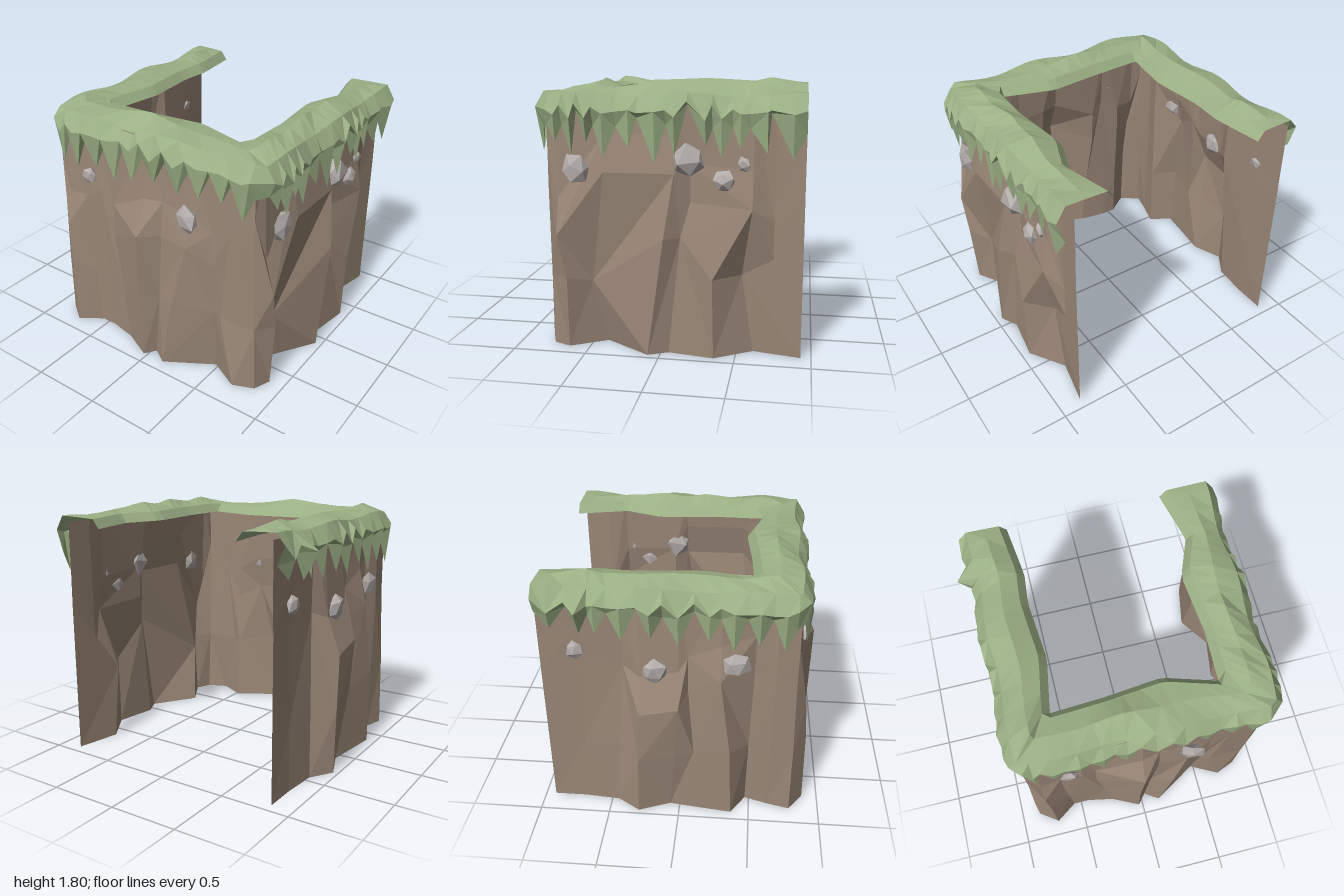
import * as THREE from 'three';

const lerp = THREE.MathUtils.lerp;

// Three walls share one coordinate system: u along the wall, d outward, y up
const place = {
  front: (u, d, y) => [u, y, d],
  left: (u, d, y) => [-d, y, u],
  back: (u, d, y) => [u, y, -d],
};

// Piecewise linear lookup in ascending [u, value] pairs
function lookup(list, u) {
  if (u <= list[0][0]) return list[0][1];
  for (let i = 1; i < list.length; i++) {
    const [a, va] = list[i - 1], [b, vb] = list[i];
    if (u <= b) return lerp(va, vb, (u - a) / (b - a));
  }
  return list[list.length - 1][1];
}

// Faceted open sheet through a series of equally long cross-sections
function sheet(name, sections, color) {
  const n = sections[0].length, index = [];
  for (let i = 0; i < sections.length - 1; i++) {
    for (let j = 0; j < n - 1; j++) {
      const a = i * n + j, b = a + n;
      if ((i + j) % 2) index.push(a, a + 1, b, b, a + 1, b + 1);
      else index.push(a, a + 1, b + 1, a, b + 1, b);
    }
  }
  let geo = new THREE.BufferGeometry();
  geo.setAttribute('position', new THREE.Float32BufferAttribute(sections.flat(2), 3));
  geo.setIndex(index);
  geo = geo.toNonIndexed();
  geo.computeVertexNormals();
  const mesh = new THREE.Mesh(geo, new THREE.MeshStandardMaterial({ color, flatShading: true, side: THREE.DoubleSide }));
  mesh.name = name;
  return mesh;
}

// Rock columns: foot [u, d], middle [u, d, y], shoulder [u, d, y]
const rock = {
  front: [
    [0.93, 0.84, 0.93, 0.84, 0.5, 0.93, 0.84, 1.1],
    [0.61, 0.775, 0.53, 0.79, 0.54, 0.74, 0.82, 0.66],
    [0.36, 0.94, 0.35, 0.955, 0.54, 0.6, 0.9, 1.0],
    [0.05, 0.89, 0.13, 0.88, 0.8, 0.19, 0.84, 1.03],
    [-0.08, 0.955, 0.03, 0.965, 0.8, 0.09, 0.9, 1.22],
    [-0.4, 0.745, -0.49, 0.8, 0.45, -0.38, 0.9, 1.22],
    [-0.64, 0.89, -0.64, 0.92, 0.5, -0.7, 0.93, 0.79],
    [-0.76, 0.84, -0.77, 0.83, 0.5, -0.78, 0.82, 1.1],
  ],
  left: [
    [0.69, 0.82, 0.56, 0.78, 0.5, 0.64, 0.78, 1.2],
    [0.48, 0.71, 0.49, 0.75, 0.5, 0.5, 0.78, 0.9],
    [0.14, 0.91, 0.23, 0.89, 0.55, 0.32, 0.84, 1.0],
    [0.03, 0.84, 0.07, 0.83, 0.5, 0.11, 0.83, 1.02],
    [-0.03, 0.92, -0.04, 0.93, 0.55, -0.02, 0.94, 1.02],
    [-0.24, 0.82, -0.29, 0.81, 0.45, -0.35, 0.8, 0.85],
    [-0.44, 0.78, -0.44, 0.8, 0.55, -0.45, 0.81, 1.2],
    [-0.56, 0.78, -0.58, 0.79, 0.45, -0.6, 0.79, 0.85],
    [-0.72, 0.89, -0.73, 0.88, 0.55, -0.75, 0.86, 0.85],
  ],
  back: [
    [-0.79, 0.86, -0.79, 0.85, 0.5, -0.78, 0.83, 1.1],
    [-0.63, 0.82, -0.63, 0.83, 0.5, -0.64, 0.84, 1.05],
    [-0.47, 0.77, -0.48, 0.78, 0.5, -0.5, 0.79, 1.15],
    [-0.37, 0.93, -0.35, 0.94, 0.55, -0.28, 0.91, 1.1],
    [-0.12, 0.9, -0.1, 0.89, 0.5, -0.06, 0.86, 1.0],
    [0.07, 0.875, 0.03, 0.93, 0.5, 0.0, 0.96, 0.9],
    [0.29, 0.965, 0.28, 0.97, 0.45, 0.26, 0.97, 0.85],
    [0.45, 0.86, 0.42, 0.84, 0.55, 0.38, 0.81, 1.15],
    [0.7, 0.84, 0.68, 0.83, 0.5, 0.66, 0.82, 1.2],
    [0.93, 0.84, 0.93, 0.84, 0.5, 0.93, 0.84, 1.1],
  ],
};

function rockSections() {
  const out = [];
  for (const wall of ['front', 'left', 'back']) {
    const at = place[wall], rim = wall === 'left' ? 0.77 : 0.82;
    for (const [u0, d0, u1, d1, y1, u2, d2, y2] of rock[wall]) {
      const top = lerp(rim, Math.min(d2, rim + 0.02), 0.7);
      out.push([
        at(u0, d0, 0), at(u1, d1, y1), at(u2, d2, y2),
        at(u2, lerp(d2, top, 0.7), y2 + 0.25), at(u2, top, 1.7),
      ]);
    }
  }
  return out;
}

// Grass: outer reach, inner lip line, crest heights, and alternating gap / tip heights of the fringe
const grass = {
  front: {
    reach: 0.95, inner: [[-0.48, 0.56], [-0.16, 0.57], [0.27, 0.53], [0.55, 0.64], [0.93, 0.55]],
    crest: [[-0.7, 1.75], [-0.5, 1.79], [-0.36, 1.76], [-0.06, 1.8], [0.08, 1.77], [0.26, 1.8], [0.42, 1.77], [0.93, 1.74]],
    outerEnds: [-0.75, 0.93], innerEnds: [-0.48, 0.93],
    fringe: [[0.93, 1.48], [0.85, 1.34], [0.71, 1.62], [0.69, 1.37], [0.58, 1.52], [0.52, 1.39], [0.47, 1.53],
      [0.4, 1.34], [0.34, 1.52], [0.3, 1.41], [0.18, 1.67], [0.1, 1.34], [0.04, 1.54], [-0.03, 1.29], [-0.15, 1.58],
      [-0.2, 1.39], [-0.29, 1.52], [-0.37, 1.32], [-0.44, 1.53], [-0.48, 1.42], [-0.55, 1.62], [-0.58, 1.34],
      [-0.65, 1.52], [-0.69, 1.42], [-0.75, 1.53]],
  },
  left: {
    reach: 0.85, inner: [[-0.56, 0.47], [-0.2, 0.45], [0.2, 0.41], [0.56, 0.52]],
    crest: [[-0.8, 1.75], [-0.4, 1.76], [-0.12, 1.8], [0.2, 1.75], [0.5, 1.74], [0.8, 1.75]],
    outerEnds: [-0.82, 0.82], innerEnds: [-0.56, 0.56],
    fringe: [[0.82, 1.5], [0.76, 1.34], [0.66, 1.56], [0.6, 1.42], [0.5, 1.58], [0.42, 1.4], [0.33, 1.55], [0.25, 1.38],
      [0.16, 1.6], [0.06, 1.41], [-0.05, 1.55], [-0.13, 1.36], [-0.22, 1.56], [-0.29, 1.33], [-0.38, 1.55],
      [-0.45, 1.38], [-0.55, 1.58], [-0.63, 1.33], [-0.71, 1.54], [-0.76, 1.35], [-0.82, 1.52]],
  },
  back: {
    reach: 0.91, inner: [[-0.46, 0.56], [-0.1, 0.5], [0.33, 0.54], [0.55, 0.52], [0.93, 0.57]],
    crest: [[-0.75, 1.75], [-0.6, 1.8], [-0.4, 1.76], [0.1, 1.78], [0.5, 1.76], [0.63, 1.79], [0.93, 1.74]],
    outerEnds: [-0.75, 0.93], innerEnds: [-0.48, 0.93],
    fringe: [[-0.75, 1.5], [-0.68, 1.35], [-0.6, 1.56], [-0.52, 1.38], [-0.44, 1.56], [-0.36, 1.33], [-0.27, 1.55],
      [-0.2, 1.4], [-0.1, 1.6], [0.0, 1.36], [0.1, 1.55], [0.18, 1.4], [0.27, 1.6], [0.37, 1.38], [0.46, 1.56],
      [0.54, 1.42], [0.58, 1.55], [0.64, 1.42], [0.72, 1.6], [0.83, 1.45], [0.93, 1.55]],
  },
};

function grassSections() {
  const out = [];
  for (const wall of ['front', 'left', 'back']) {
    const { reach, inner, crest, outerEnds: [o0, o1], innerEnds: [i0, i1], fringe } = grass[wall];
    const at = place[wall];
    fringe.forEach(([u, y], i) => {
      const isTip = i % 2 === 1;
      const ui = lerp(i0, i1, (u - o0) / (o1 - o0)); // squeezed toward the inner corner
      const lip = lookup(inner, ui), um = (u + ui) / 2;
      const wave = Math.sin(u * 9), ripple = Math.sin(i * 2.6);
      const spike = wall === 'back' && u === 0.64 ? 0.08 : 0;
      const brow = reach + spike + 0.015 * wave + (isTip ? 0.005 : -0.008);
      const shoulder = reach - 0.07 + 0.012 * wave;
      out.push([
        at(u, reach - (isTip ? 0.025 : 0.05), y),
        at(u, brow, Math.max((isTip ? 1.6 : 1.64) + 0.03 * ripple, y + 0.02)),
        at(u, shoulder, 1.73 + 0.015 * wave),
        at(um, lerp(lip, shoulder, 0.55), lookup(crest, um)),
        at(ui, lip + 0.05, 1.735),
        at(ui, lip, 1.67),
      ]);
    });
  }
  return out;
}

// Small faceted boulder with uneven corners, flattened against its wall
function stone(wall, u, d, y, r, seed) {
  const geo = new THREE.IcosahedronGeometry(r, 0);
  const p = geo.attributes.position, v = new THREE.Vector3();
  for (let i = 0; i < p.count; i++) {
    v.fromBufferAttribute(p, i);
    const k = 1 + 0.16 * Math.sin(Math.round(v.x / r * 10) * 3.1 + Math.round(v.y / r * 10) * 1.7 + Math.round(v.z / r * 10) * 2.3 + seed);
    p.setXYZ(i, v.x * k, v.y * k, v.z * k);
  }
  geo.rotateX(seed).rotateY(seed * 1.7).rotateZ(seed * 0.6);
  if (wall === 'left') geo.scale(0.5, 1, 1);
  else geo.scale(1, 1, 0.5);
  geo.computeVertexNormals();
  const mesh = new THREE.Mesh(geo, new THREE.MeshStandardMaterial({ color: 0xb4aeac, flatShading: true }));
  mesh.position.set(...place[wall](u, d, y));
  mesh.name = 'stone';
  return mesh;
}

export function createModel() {
  const group = new THREE.Group();
  group.name = 'cliffWalls';
  group.add(sheet('rockWall', rockSections(), 0x9a8777));
  group.add(sheet('grassTop', grassSections(), 0x9cb085));

  const stones = new THREE.Group();
  stones.name = 'embeddedStones';
  [
    ['front', -0.56, 0.89, 1.24, 0.1], ['front', 0.18, 0.88, 1.31, 0.12],
    ['front', 0.41, 0.88, 1.18, 0.075], ['front', 0.54, 0.87, 1.29, 0.05],
    ['left', 0.34, 0.84, 1.23, 0.1], ['left', -0.53, 0.82, 1.29, 0.065],
    ['back', -0.38, 0.88, 1.23, 0.09], ['back', 0.16, 0.88, 1.15, 0.09],
    ['back', 0.69, 0.84, 1.27, 0.065],
  ].forEach((s, i) => stones.add(stone(...s, i + 1)));
  group.add(stones);
  return group;
}
